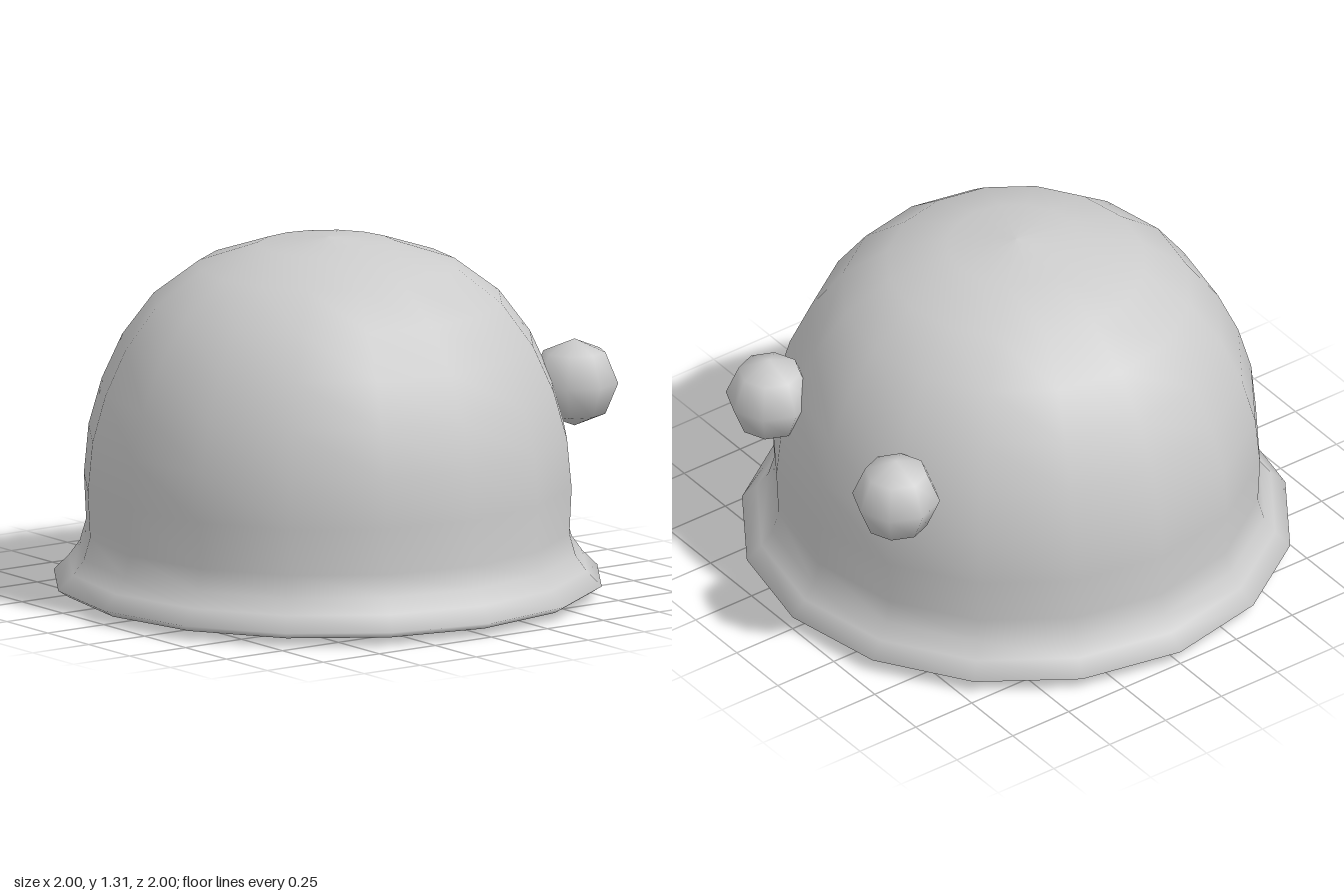
import * as THREE from 'three';

export function createModel() {
  const group = new THREE.Group();
  const material = new THREE.MeshStandardMaterial({ color: 0xcccccc });

  const add = (name, geometry, x = 0, y = 0, z = 0) => {
    const mesh = new THREE.Mesh(geometry, material);
    mesh.name = name;
    mesh.position.set(x, y, z);
    group.add(mesh);
  };
  const lathe = (points) =>
    new THREE.LatheGeometry(points.map(([r, y]) => new THREE.Vector2(r, y)), 16);

  // Dome with its flared brim, from the rim up to the crown
  add('domeAndBrim', lathe([
    [0.96, 0.025], [1, 0.05], [0.945, 0.105], [0.905, 0.16], [0.882, 0.24],
    [0.89, 0.41], [0.873, 0.59], [0.825, 0.76], [0.75, 0.925], [0.635, 1.08],
    [0.47, 1.205], [0.25, 1.28], [0, 1.307],
  ]));

  // Slightly bowed underside
  add('base', lathe([[0, 0], [0.5, 0.004], [0.8, 0.012], [0.96, 0.025]]));

  // Pair of knobs on the back
  for (const side of [-1, 1]) {
    const name = side > 0 ? 'leftKnob' : 'rightKnob';
    add(name, new THREE.SphereGeometry(0.16, 8, 4), side * 0.385, 0.735, -0.82);
  }

  return group;
}
